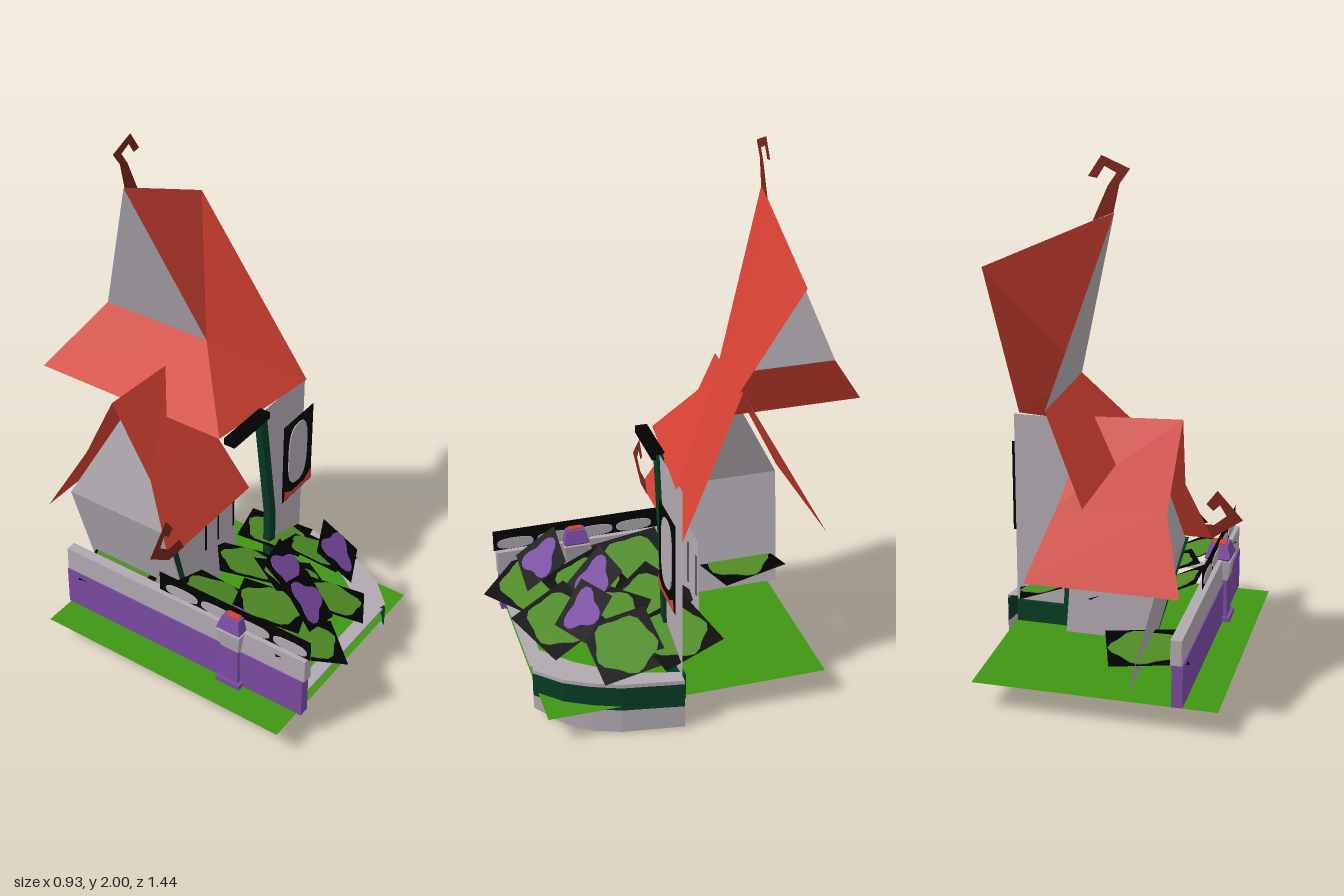
import * as THREE from 'three';

function mat(name, color) {
  const m = new THREE.MeshStandardMaterial({ color, side: THREE.DoubleSide });
  m.name = name;
  return m;
}

export function createModel() {
  const root = new THREE.Group();
  root.name = 'crookedCottage';
  const red = mat('roofRed', 0xd24032);
  const darkRed = mat('hookRed', 0x78251b);
  const grey = mat('stoneGrey', 0xb0a9b0);
  const purple = mat('purple', 0x784aa0);
  const grass = mat('grassGreen', 0x3f9612);
  const leafGreen = mat('leafGreen', 0x508c26);
  const darkGreen = mat('trimGreen', 0x073b24);
  const black = mat('black', 0x020202);

  const add = (name, geo, m, parent = root) => {
    const mesh = new THREE.Mesh(geo, m);
    mesh.name = name;
    parent.add(mesh);
    return mesh;
  };
  // Flat-shaded sheet made of polygons, each one a fan from its first corner
  const sheet = (name, polys, m) => {
    const v = [];
    for (const p of polys)
      for (let i = 1; i < p.length - 1; i++) v.push(...p[0], ...p[i], ...p[i + 1]);
    const g = new THREE.BufferGeometry();
    g.setAttribute('position', new THREE.Float32BufferAttribute(v, 3));
    g.computeVertexNormals();
    return add(name, g, m);
  };
  const box = (name, x0, x1, y0, y1, z0, z1, m) => {
    const b = add(name, new THREE.BoxGeometry(x1 - x0, y1 - y0, z1 - z0), m);
    b.position.set((x0 + x1) / 2, (y0 + y1) / 2, (z0 + z1) / 2);
    return b;
  };
  const outline = (pts) => new THREE.Shape(pts.map((p) => new THREE.Vector2(p[0], p[1])));
  const flat = (name, pts, z, m) => {
    const s = add(name, new THREE.ShapeGeometry(outline(pts)), m);
    s.position.z = z;
    return s;
  };
  const rect = (x0, x1, y0, y1) => [[x0, y0], [x1, y0], [x1, y1], [x0, y1]];
  // Wavy rounded patch, as a thin plate centred on its plane
  const blob = (w, h, lobes, wave) => {
    const pts = [];
    for (let i = 0; i < 24; i++) {
      const a = (i / 24) * Math.PI * 2;
      const r = 1 - wave + wave * Math.cos(a * lobes);
      pts.push([Math.cos(a) * r * w / 2, Math.sin(a) * r * h / 2]);
    }
    const g = new THREE.ExtrudeGeometry(outline(pts), { depth: 0.006, bevelEnabled: false });
    return g.translate(0, 0, -0.003);
  };

  // Lawn
  const lawn = add('lawn', new THREE.PlaneGeometry(0.895, 1.03), grass);
  lawn.rotation.x = -Math.PI / 2;
  lawn.position.set(-0.022, 0.117, 0.1);

  // Cottage: front wall and leaning left wall with its gable; right and back stay open
  const footF = [-0.15, 0.155, -0.01], footB = [-0.15, 0.155, -0.43];
  const topF = [-0.26, 0.58, -0.01], topB = [-0.26, 0.58, -0.455];
  sheet('cottageFrontWall', [[footF, [0.19, 0.155, -0.01], [0.16, 0.58, -0.01], topF]], grey);
  sheet('cottageSideWall', [[footB, footF, topF, topB], [topB, topF, [-0.17, 1.04, -0.215]]], grey);
  flat('cornerBoard', [[-0.15, 0.155], [-0.125, 0.155], [-0.24, 0.58], [-0.27, 0.58]], 0.003, darkGreen);
  for (const x of [-0.03, 0.05, 0.15]) flat('frontBar', rect(x, x + 0.012, 0.35, 0.52), -0.005, black);

  // Cottage roof: two bent slopes mirrored about the ridge
  const slope = (s, cornerX) => {
    const z = (d) => -0.215 + s * d;
    const eaveL = [-0.345, 0.56, z(0.275)], eaveR = [cornerX, 0.56, z(0.275)];
    const midL = [-0.27, 0.81, z(0.145)], midR = [0.11, 0.81, z(0.145)];
    const topL = [-0.29, 1.1, z(0)], topR = [0.035, 1.085, z(0)];
    const polys = [[eaveL, eaveR, midR, midL], [midL, midR, topR, topL]];
    return s > 0 ? polys : polys.map((p) => p.reverse());
  };
  sheet('cottageRoof', [...slope(1, 0.165), ...slope(-1, 0.2)], red);

  // Tower front wall with its plinth, leaning post and lintel
  flat('towerWall', [[0.2, 0.2], [0.425, 0.2], [0.425, 0.95], [0.12, 0.95], [0.19, 0.5]], 0.128, grey);
  box('towerPlinth', 0.19, 0.42, 0.1, 0.2, 0.112, 0.14, darkGreen);
  const post = add('towerPost', new THREE.ExtrudeGeometry(
    outline([[0.19, 0.2], [0.235, 0.2], [0.228, 0.45], [0.15, 0.95], [0.11, 0.95], [0.19, 0.45]]),
    { depth: 0.028, bevelEnabled: false }), darkGreen);
  post.position.z = 0.112;
  box('lintel', -0.075, 0.15, 0.93, 0.957, 0.11, 0.155, black);

  // Tower window
  flat('windowFrame', rect(0.243, 0.445, 0.475, 0.83), 0.158, black);
  const pane = add('windowPane', blob(0.125, 0.27, 4, -0.06), grey);
  pane.position.set(0.342, 0.665, 0.159);
  flat('windowBox', [[0.25, 0.485], [0.44, 0.485], [0.435, 0.535], [0.39, 0.505], [0.3, 0.505], [0.25, 0.53]], 0.164, red);

  // Tower roof: bent front sheet, flared side and inner wall
  const kinkF = [0.1, 1.2, -0.09], kinkB = [0.1, 1.2, -0.535], peak = [-0.073, 1.815, -0.305];
  const eaveF = [-0.075, 0.945, 0.09];
  sheet('towerRoofFront', [[kinkF, eaveF, [0.41, 0.95, 0.145], [0.382, 1.61, -0.31], [0, 1.785, -0.305], peak]], red);
  sheet('towerRoofSide', [[kinkF, kinkB, [-0.075, 0.945, -0.715], eaveF]], red);
  sheet('towerInnerWall', [[kinkF, peak, kinkB]], grey);

  // Curled hooks on the tower peak and at the cottage eave
  flat('peakHook', [[0, 1.785], [-0.05, 1.9], [-0.08, 1.945], [-0.04, 1.965], [-0.015, 1.925],
    [0.015, 1.93], [-0.03, 2], [-0.125, 1.96], [-0.09, 1.91], [-0.07, 1.815]], -0.303, darkRed);
  flat('eaveHook', [[-0.255, 0.56], [-0.345, 0.56], [-0.455, 0.64], [-0.36, 0.745], [-0.32, 0.69],
    [-0.345, 0.665], [-0.37, 0.69], [-0.395, 0.65], [-0.35, 0.612], [-0.28, 0.61]], 0.062, darkRed);

  // Side wall with a ragged dark top, and its lantern post
  box('sideWallBase', -0.345, -0.305, 0.12, 0.28, -0.42, 0.635, purple);
  box('sideWallTop', -0.34, -0.3, 0.28, 0.375, -0.42, 0.64, grey);
  const hedge = add('sideWallHedge', new THREE.PlaneGeometry(0.65, 0.085), black);
  hedge.rotation.y = Math.PI / 2;
  hedge.position.set(-0.321, 0.417, 0.325);
  for (let i = 0; i < 4; i++) {
    const b = add('hedgeStone', blob(0.14, 0.045, 4, -0.05), grey);
    b.rotation.y = Math.PI / 2;
    b.position.set(-0.321, 0.4, 0.1 + i * 0.155);
  }
  const frustum = (name, top, bottom, y0, y1, m) => {
    const g = new THREE.CylinderGeometry(top * Math.SQRT1_2, bottom * Math.SQRT1_2, y1 - y0, 4)
      .rotateY(Math.PI / 4).toNonIndexed();
    g.computeVertexNormals();
    add(name, g, m).position.set(-0.322, (y0 + y1) / 2, 0.335);
  };
  frustum('postFoot', 0.1, 0.1, 0.12, 0.14, purple);
  frustum('postShaft', 0.066, 0.076, 0.14, 0.29, purple);
  frustum('postLamp', 0.1, 0.076, 0.29, 0.37, grey);
  frustum('postCollar', 0.1, 0.08, 0.37, 0.38, purple);
  frustum('postCap', 0.07, 0.1, 0.38, 0.43, purple);
  frustum('postTip', 0.05, 0.05, 0.428, 0.434, red);

  // Curved garden kerb: grey foot, green band, grey cap
  const path = [[0.245, 0.63], [0.335, 0.54], [0.385, 0.45], [0.425, 0.35], [0.465, 0.13]];
  const foot = [0.045, 0.02, 0.005, 0.007, 0.012];
  const inner = [[0.12, 0.59], [0.24, 0.48], [0.3, 0.4], [0.36, 0.32], [0.41, 0.13]];
  const strip = (lower, upper) => path.slice(1).map((_, i) => [lower(i), lower(i + 1), upper(i + 1), upper(i)]);
  const at = (pts, y) => (i) => [pts[i][0], typeof y === 'number' ? y : y[i], pts[i][1]];
  sheet('kerbFoot', strip(at(path, foot), at(path, 0.1)), grey);
  sheet('kerbBand', strip(at(path, 0.1), at(path, 0.195)), darkGreen);
  sheet('kerbEdge', strip(at(path, 0.195), at(path, 0.21)), grey);
  sheet('kerbCap', strip(at(path, 0.21), at(inner, 0.21)), grey);
  box('frontKerbCap', -0.33, 0.22, 0.2, 0.208, 0.58, 0.632, grey);

  // Planting cards: a dark square with a coloured patch
  const card = (name, x, y, z, w, h, tilt, roll, turn, m, lobes, wave) => {
    const g = new THREE.Group();
    g.name = name;
    g.position.set(x, y, z);
    g.rotation.set(tilt, roll, turn);
    add(name + 'Backing', new THREE.PlaneGeometry(w, h), black, g);
    add(name + 'Patch', blob(w * 0.98, h * 0.96, lobes, wave), m, g);
    root.add(g);
  };
  const leaves = [[-0.17, 0.3, 0.53, 0.27, 0.75], [0.08, 0.29, 0.49, 0.25, 0.45], [0.29, 0.28, 0.3, 0.25, 0.1],
    [0.28, 0.29, 0.11, 0.25, 0.3], [0.06, 0.3, 0.14, 0.25, 0.6], [-0.17, 0.32, 0.14, 0.26, 0.05],
    [-0.1, 0.31, 0.34, 0.26, 0.35], [0.1, 0.29, 0.31, 0.24, 0.9]];
  leaves.forEach(([x, y, z, s, turn], i) =>
    card('leaf', x, y, z, s, s, -Math.PI / 2 + 0.1, 0.28 + (i % 3) * 0.08, turn, leafGreen, 5, 0.08));
  card('rearLeaf', -0.18, 0.26, -0.27, 0.28, 0.28, -Math.PI / 2, 0, 0.3, leafGreen, 5, 0.08);
  const flowers = [[-0.12, 0.435, 0.51, -0.2], [0.01, 0.4, 0.34, 0.1], [0.21, 0.4, 0.43, 0.35]];
  for (const [x, y, z, turn] of flowers)
    card('flower', x, y, z, 0.18, 0.19, -0.8, 0.25, turn, purple, 3, 0.2);

  return root;
}
